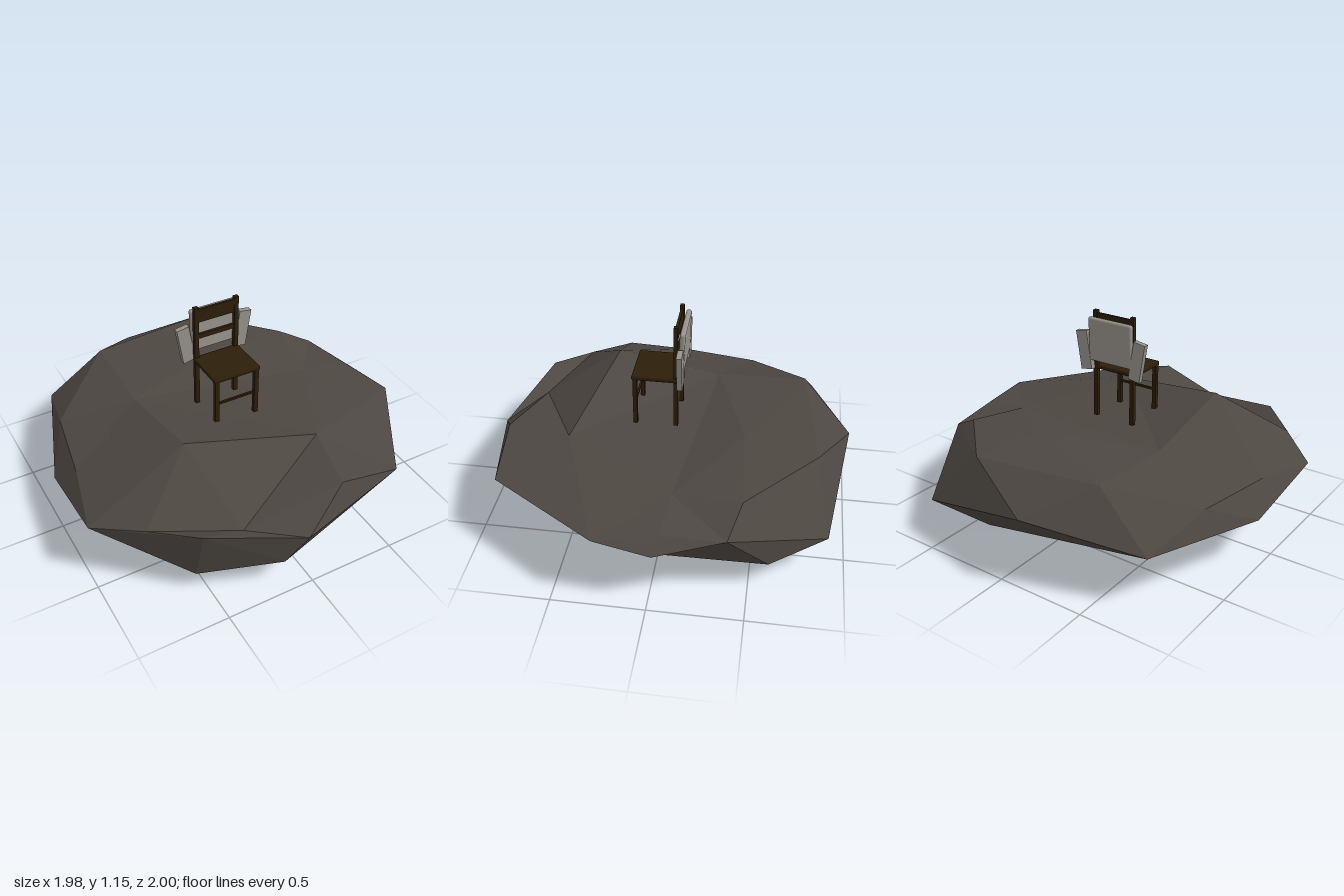
import * as THREE from 'three';
import { RoundedBoxGeometry } from 'three/addons/geometries/RoundedBoxGeometry.js';

const material = (name, color, flatShading = false) => {
  const m = new THREE.MeshStandardMaterial({ color, flatShading });
  m.name = name;
  return m;
};

// Corners of the boulder: t = top, r = rim (counter-clockwise from the front), b = bottom
const CORNERS = {
  t: [
    [-0.42, 0.65, 0.38], [-0.43, 0.53, -0.22], [0.2, 0.55, -0.42], [0.3, 0.53, 0.53],
    [0.62, 0.46, -0.08], [-0.42, 0.55, -0.73], [0.3, 0.53, -0.82], [0.68, 0.5, -0.45],
    [0.22, 0.51, 0.89], [-0.32, 0.37, 0.82], [-0.76, 0.41, 0.63], [-0.9, 0.4, 0.05],
    [-0.82, 0.4, -0.4], [0.9, 0.43, -0.06],
  ],
  r: [
    [-0.04, 0.34, 1], [0.59, 0.42, 0.87], [0.975, 0.42, 0.27], [0.985, 0.36, -0.03],
    [0.87, 0.4, -0.39], [0.58, 0.22, -0.9], [-0.13, 0.39, -1], [-0.74, 0.29, -0.79],
    [-0.975, 0.255, -0.12], [-0.99, 0.36, 0.42], [-0.55, 0.44, 0.83],
  ],
  b: [
    [-0.14, 0.16, 0.94], [-0.56, 0.12, 0.76], [-0.15, 0, 0.53], [0.52, 0.025, 0.25],
    [0.3, 0.24, 0.62], [0.8, 0.2, 0.1], [0.76, 0.17, -0.6], [-0.13, 0.16, -0.43],
    [0.31, 0.085, -0.75],
  ],
};

// Fans of facets: the hub corner first, then its neighbours in turn
const TOP_FANS = [
  't0 t3 t1 t11 r9 t10 t9 t3', 't9 t10 r10 r0 t8 t3', 't10 r9 r10', 't8 r0 r1',
  't3 t8 r1 r2 t4 t1', 't1 t4 t2', 't4 r2 t13 r4 t7 t2', 't13 r2 r3 r4',
  't6 r4 r5 r6 t5 t2 t7 r4', 't5 r6 r7 t12 t1 t2', 't12 r7 r8 t11 t1', 't11 r8 r9',
];
const BOTTOM_FANS = [
  'b1 b2 r7 r9 r10 b0 b2', 'b4 r1 b5 b3 b2 b0 r1', 'b0 r10 r0', 'b0 r0 r1',
  'b5 r1 r2 r4 b6 b7 b3', 'b7 b5 b6 b8 r7 b2 b3', 'b8 r6 r7',
  'r5 r6 b8 b6 r4', 'r3 r4 r2', 'r8 r9 r7',
];

function boulderGeometry() {
  const positions = [];
  const addFan = (fan, facesDown) => {
    const [hub, ...ring] = fan.split(' ').map((key) => CORNERS[key[0]][Number(key.slice(1))]);
    for (let i = 0; i + 1 < ring.length; i++) {
      const [a, b] = facesDown ? [ring[i + 1], ring[i]] : [ring[i], ring[i + 1]];
      positions.push(...hub, ...a, ...b);
    }
  };
  TOP_FANS.forEach((fan) => addFan(fan, false));
  BOTTOM_FANS.forEach((fan) => addFan(fan, true));
  const geometry = new THREE.BufferGeometry();
  geometry.setAttribute('position', new THREE.Float32BufferAttribute(positions, 3));
  geometry.computeVertexNormals();
  return geometry;
}

export function createModel() {
  const stone = material('stone', 0x4d4742, true);
  const wood = material('dark wood', 0x2c1e09);
  const cloth = material('grey cloth', 0x96928b);

  const add = (parent, name, geometry, mat, x, y, z) => {
    const mesh = new THREE.Mesh(geometry, mat);
    mesh.name = name;
    mesh.position.set(x, y, z);
    parent.add(mesh);
    return mesh;
  };
  const box = (w, h, d) => new THREE.BoxGeometry(w, h, d);

  const model = new THREE.Group();
  model.name = 'chairOnBoulder';
  add(model, 'boulder', boulderGeometry(), stone, 0, 0, 0);

  // Chair
  const chair = new THREE.Group();
  chair.name = 'chair';
  chair.position.x = -0.007;
  model.add(chair);
  for (const side of [-1, 1]) {
    add(chair, 'frontLeg', box(0.025, 0.29, 0.023), wood, side * 0.121, 0.675, 0.193);
    add(chair, 'backPost', box(0.025, 0.62, 0.023), wood, side * 0.121, 0.84, -0.032);
  }
  add(chair, 'seat', new RoundedBoxGeometry(0.277, 0.025, 0.25, 2, 0.007), wood, 0, 0.824, 0.085);
  add(chair, 'topSlat', box(0.23, 0.08, 0.014), wood, 0, 1.096, -0.032);
  add(chair, 'middleSlat', box(0.23, 0.027, 0.014), wood, 0, 0.967, -0.032);
  add(chair, 'frontStretcher', box(0.23, 0.012, 0.012), wood, 0, 0.666, 0.193);

  // Coat hung over the chair back
  const coat = new THREE.Group();
  coat.name = 'coat';
  coat.position.x = -0.006;
  model.add(coat);
  const body = add(coat, 'coatBody', new RoundedBoxGeometry(0.282, 0.25, 0.03, 3, 0.012),
    cloth, 0, 0.993, -0.063);
  body.rotation.x = -0.04;
  for (const side of [-1, 1]) {
    const sleeve = add(coat, 'sleeve', box(0.072, 0.22, 0.03), cloth, side * 0.174, 0.92, -0.06);
    sleeve.rotation.z = -side * 0.16;
  }
  return model;
}
